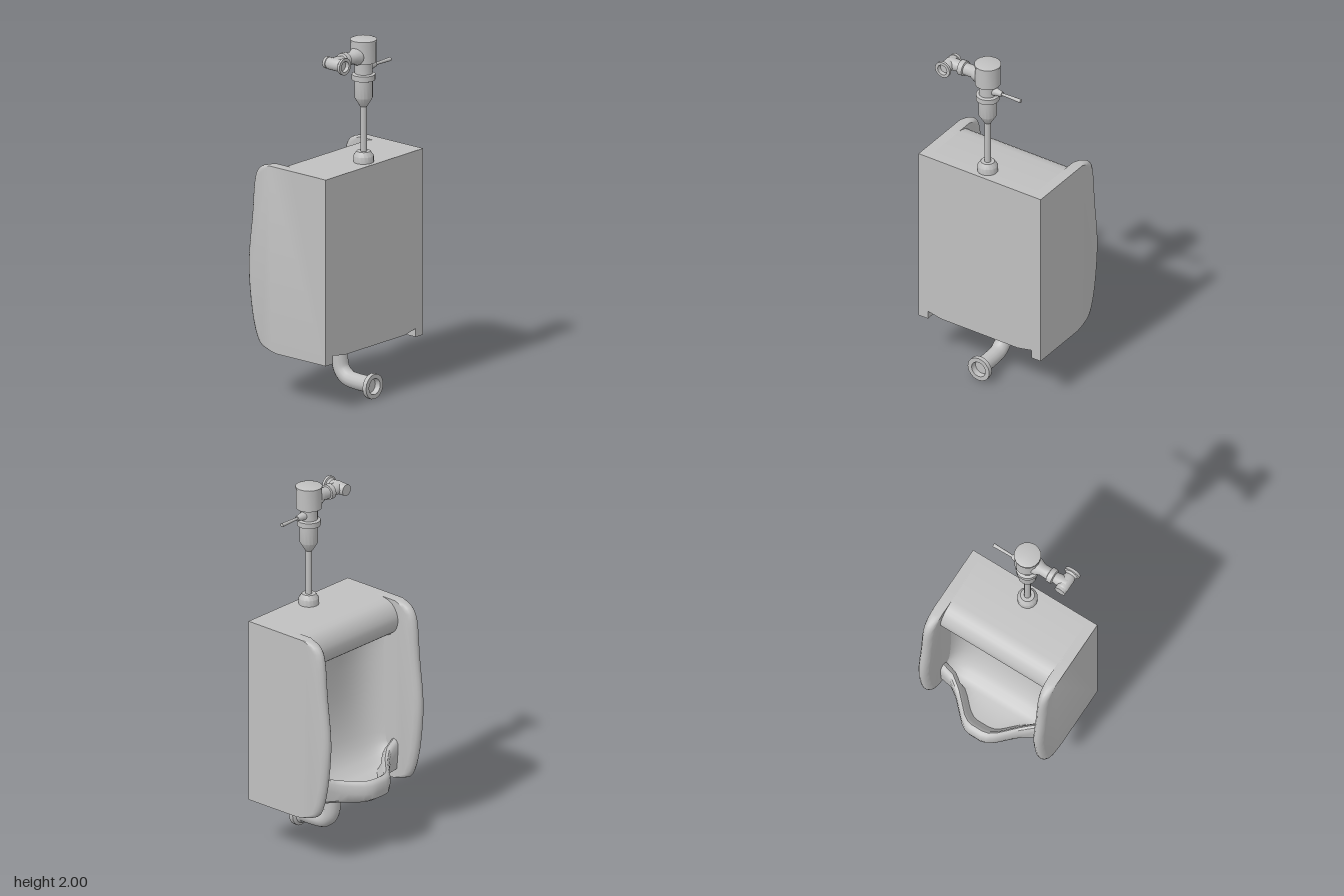
import * as THREE from 'three';
import { toCreasedNormals } from 'three/addons/utils/BufferGeometryUtils.js';

const porcelain = new THREE.MeshStandardMaterial({ color: 0xc0c0c0 });
porcelain.name = 'greyPorcelain';

// Closed solid lofted along x; ringAt(x, i) gives [z, y] points
function loft(xs, ringAt, crease) {
  const rings = xs.map(ringAt), n = rings[0].length, pos = [], idx = [];
  rings.forEach((r, i) => r.forEach(([z, y]) => pos.push(xs[i], y, z)));
  for (let i = 0; i < xs.length - 1; i++) {
    for (let j = 0; j < n; j++) {
      const a = i * n + j, b = i * n + (j + 1) % n, c = b + n, d = a + n;
      idx.push(a, d, c, a, c, b);
    }
  }
  [0, xs.length - 1].forEach((k) => {
    const pts = rings[k].map(([z, y]) => new THREE.Vector2(z, y));
    THREE.ShapeUtils.triangulateShape(pts, []).forEach(([a, b, c]) => {
      const u = pts[b].clone().sub(pts[a]), v = pts[c].clone().sub(pts[a]);
      const flip = (u.cross(v) > 0) !== (k === 0);
      idx.push(k * n + a, k * n + (flip ? c : b), k * n + (flip ? b : c));
    });
  });
  const g = new THREE.BufferGeometry();
  g.setAttribute('position', new THREE.Float32BufferAttribute(pos, 3));
  g.setIndex(idx);
  return toCreasedNormals(g, crease);
}

// Piecewise linear lookup
function lookup(table, x) {
  for (let i = 1; i < table.length; i++) {
    const [x0, a] = table[i - 1], [x1, b] = table[i];
    if (x <= x1) return a + (b - a) * (x - x0) / (x1 - x0);
  }
  return table[table.length - 1][1];
}

const smooth = (pts, n) => new THREE.SplineCurve(pts.map((p) => new THREE.Vector2(...p)))
  .getPoints(n).map((p) => [p.x, p.y]);

export function createModel() {
  const model = new THREE.Group();
  const add = (name, geo, x = 0, y = 0, z = 0, parent = model) => {
    const m = new THREE.Mesh(geo, porcelain);
    m.name = name;
    m.position.set(x, y, z);
    parent.add(m);
    return m;
  };
  const turned = (pts, sides = 16) => toCreasedNormals(
    new THREE.LatheGeometry(pts.map((p) => new THREE.Vector2(...p)), sides), 0.6);

  // Body: back, rolled top edge, hollow interior, basin, lip and underside
  const lipFront = [[0, -0.305], [0.055, -0.305], [0.1, -0.275], [0.2, -0.175], [0.265, -0.13], [0.345, -0.115]];
  const lipTop = [[0, 0.44], [0.12, 0.44], [0.2, 0.45], [0.27, 0.48], [0.345, 0.51]];
  const roll = smooth([[0, 1.31], [-0.06, 1.295], [-0.1, 1.255], [-0.117, 1.2], [-0.1, 1.14], [-0.05, 1.105], [0, 1.115]], 14);
  const hollow = smooth([[0.06, 1.14], [0.1, 1.05], [0.11, 0.85], [0.1, 0.66], [0.06, 0.5], [0, 0.41], [-0.08, 0.365]], 14);
  const W = 0.345, xs = [];
  for (let i = 0; i <= 32; i++) xs.push(-W * Math.cos(Math.PI * i / 32));
  const bodyRing = (x) => {
    const ax = Math.abs(x), u = Math.min(1, ax / W);
    const s = 1 - Math.sqrt(1 - u ** 4);
    const zo = lookup(lipFront, ax), yt = lookup(lipTop, ax);
    const side = (z) => z + (-0.07 - z) * s;
    const floor = (y) => Math.max(y, y + (yt - 0.02 - y) * s);
    const yb = 0.3 + 0.02 * Math.max(0, (ax - 0.25) / 0.095);
    const zi = Math.min(zo + 0.1, side(-0.09));
    return [
      [0.3, yb], [0.3, 1.31], ...roll.map(([z, y]) => [z > -0.06 && y < 1.2 ? Math.min(z, side(z)) : z, y]),
      ...hollow.map(([z, y]) => [side(z), y < yt ? floor(y) : y]),
      [zi - 0.01, floor(0.37)], [zo + 0.06, yt - 0.035], [zo + 0.045, yt - 0.01], [zo + 0.03, yt],
      [zo + 0.012, yt - 0.007], [zo, yt - 0.025], [zo, yt - 0.07], [zo + 0.008, 0.335],
      [zo + 0.04, 0.315], [zo + 0.11, yb + 0.003], [0.1, yb],
    ];
  };
  add('basinBody', loft(xs, bodyRing, 0.75));

  // Side panels with rounded front edges
  const edge = smooth([[-0.12, 1.31], [-0.185, 1.285], [-0.222, 1.21], [-0.24, 1.0], [-0.264, 0.78],
    [-0.26, 0.62], [-0.235, 0.44], [-0.195, 0.32], [-0.14, 0.285], [-0.05, 0.27]], 28);
  const outline = [[0.3, 0.27], [0.3, 1.31], [0.05, 1.31], ...edge];
  const stations = [[0.335, 0.035], [0.343, 0.014], [0.355, 0.003], [0.368, 0], [0.38, 0.005], [0.39, 0.018], [0.395, 0.035]];
  for (const sign of [1, -1]) {
    const st = sign > 0 ? stations : stations.map(([x, d]) => [-x, d]).reverse();
    add(sign > 0 ? 'leftPanel' : 'rightPanel', loft(st.map((p) => p[0]), (x, i) => outline.map(([z, y]) =>
      [z + st[i][1] * THREE.MathUtils.clamp((-0.05 - z) / 0.1, 0, 1), y]), 0.75));
  }

  // Drain pipe with collar and flared wall flange
  const path = new THREE.CatmullRomCurve3([[0.31, 0.055], [0.2, 0.055], [0.125, 0.07], [0.085, 0.115],
    [0.075, 0.18], [0.075, 0.28]].map(([y, z]) => new THREE.Vector3(-0.004, y, z)));
  add('drainPipe', new THREE.TubeGeometry(path, 28, 0.045, 14));
  add('drainCollar', new THREE.CylinderGeometry(0.058, 0.05, 0.03, 16), -0.004, 0.29, 0.055);
  add('drainFlange', turned([[0.045, 0], [0.052, 0.015], [0.07, 0.025], [0.07, 0.05], [0.045, 0.05], [0.04, 0.02], [0, 0.02]]),
    -0.004, 0.07, 0.255).rotation.x = Math.PI / 2;

  // Flush valve, turned around the supply axis
  const valve = new THREE.Group();
  valve.name = 'flushValve';
  valve.position.set(0, 0, 0.223);
  model.add(valve);
  add('supplyCollar', turned([[0.055, 1.305], [0.055, 1.345], [0.038, 1.37], [0, 1.37]]), 0, 0, 0, valve);
  add('supplyPipe', new THREE.CylinderGeometry(0.018, 0.018, 0.27, 12), 0, 1.495, 0, valve);
  add('valveBody', turned([[0, 1.61], [0.02, 1.62], [0.05, 1.67], [0.05, 1.765], [0.064, 1.77], [0.064, 1.8],
    [0.048, 1.805], [0.048, 1.865], [0.07, 1.87], [0.07, 1.985], [0.073, 1.985], [0.073, 1.995], [0.06, 2], [0, 2]]), 0, 0, 0, valve);

  // Lever handle
  add('leverSocket', new THREE.CylinderGeometry(0.014, 0.026, 0.06, 12), 0.065, 1.834, 0, valve).rotation.z = -Math.PI / 2;
  add('lever', new THREE.CylinderGeometry(0.011, 0.007, 0.14, 10), 0.145, 1.834, 0, valve).rotation.z = -Math.PI / 2;

  // Side branch ending in a wall elbow
  add('branch', turned([[0.048, 0.05], [0.048, 0.065], [0.034, 0.095], [0.034, 0.14], [0.043, 0.143], [0.043, 0.172],
    [0.03, 0.176], [0.034, 0.2], [0.034, 0.25]]), 0, 1.91, 0, valve).rotation.z = Math.PI / 2;
  add('elbow', turned([[0, -0.055], [0.033, -0.055], [0.033, -0.038], [0.03, -0.037], [0.034, -0.03], [0.034, 0.035],
    [0.03, 0.05], [0.038, 0.062], [0.047, 0.065], [0.047, 0.08], [0.03, 0.08], [0.026, 0.06], [0, 0.06]]),
    -0.24, 1.908, 0, valve).rotation.x = Math.PI / 2;
  return model;
}
